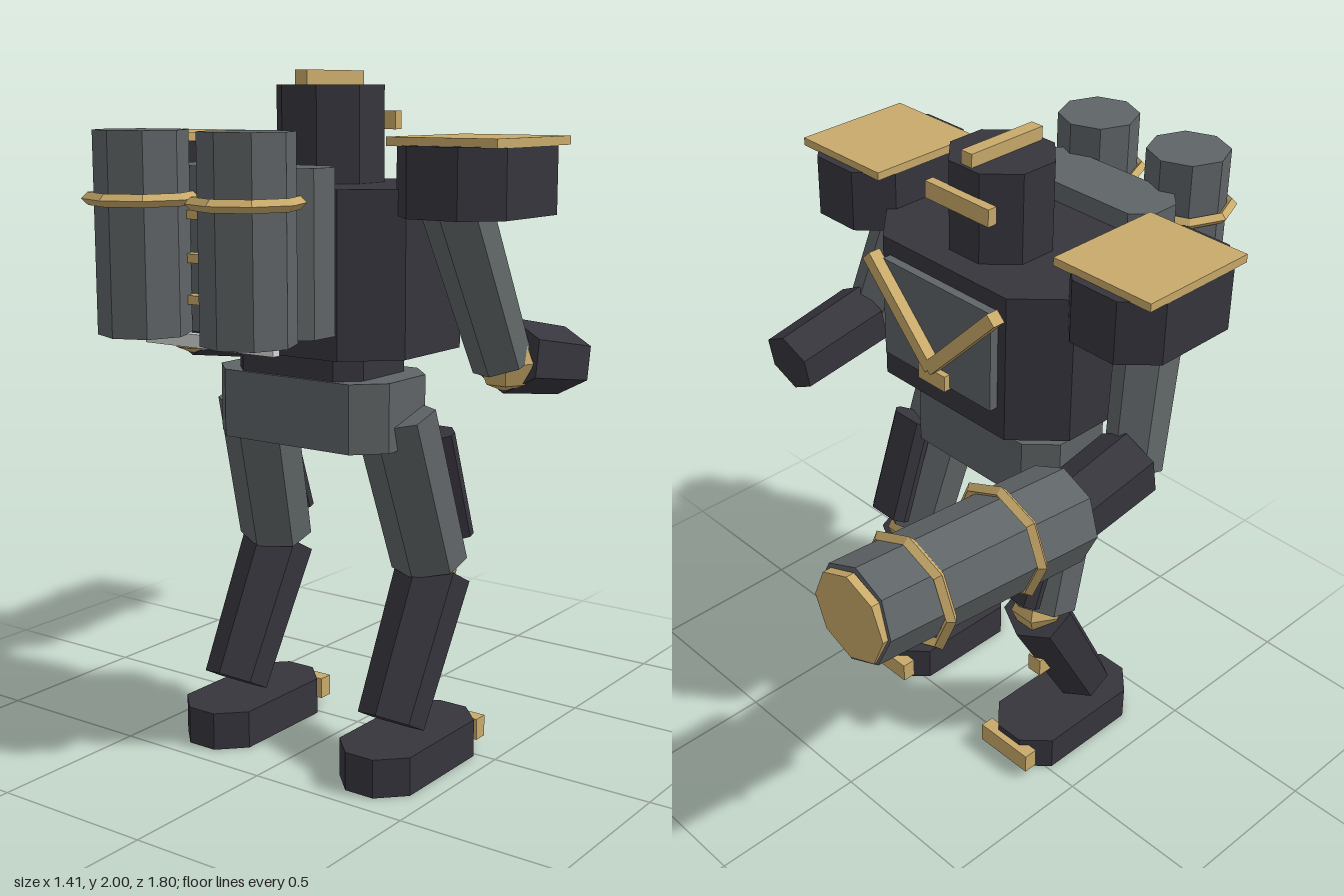
import * as THREE from 'three';

const mat = (name, color) => {
  const m = new THREE.MeshStandardMaterial({ color, flatShading: true });
  m.name = name;
  return m;
};

export function createModel() {
  const dark = mat('dark armour', 0x37353d);
  const grey = mat('grey metal', 0x5f6466);
  const gold = mat('gold trim', 0xc9aa6a);
  const pale = mat('pale bar', 0xd6d8d8);
  const V = (x, y, z) => new THREE.Vector3(x, y, z);

  const model = new THREE.Group();
  model.name = 'robot';
  const body = new THREE.Group();
  body.name = 'body';
  body.position.x = 0.021;
  model.add(body);

  const add = (name, geo, material, p, parent = body) => {
    const m = new THREE.Mesh(geo, material);
    m.name = name;
    if (p) m.position.copy(p);
    parent.add(m);
    return m;
  };
  const box = (name, w, h, d, material, p, parent) =>
    add(name, new THREE.BoxGeometry(w, h, d), material, p, parent);

  // Block with its four vertical edges cut off, centred on p
  const block = (name, w, h, d, cut, material, p, parent) => {
    const a = w / 2, b = d / 2;
    const s = new THREE.Shape([
      [a - cut, -b], [a, -b + cut], [a, b - cut], [a - cut, b],
      [-a + cut, b], [-a, b - cut], [-a, -b + cut], [-a + cut, -b],
    ].map(([x, y]) => new THREE.Vector2(x, y)));
    const g = new THREE.ExtrudeGeometry(s, { depth: h, bevelEnabled: false });
    g.translate(0, 0, -h / 2).rotateX(-Math.PI / 2);
    return add(name, g, material, p, parent);
  };

  // Faceted limb from point a (bottom) to point b (top)
  const limb = (name, a, b, ra, rb, sides, widen, material, parent) => {
    const dir = b.clone().sub(a);
    const g = new THREE.CylinderGeometry(rb, ra, dir.length(), sides);
    g.scale(widen, 1, 1);
    const m = add(name, g, material, a.clone().add(b).multiplyScalar(0.5), parent);
    m.quaternion.setFromUnitVectors(V(0, 1, 0), dir.normalize());
    return m;
  };
  const joint = (name, r, p, parent) =>
    add(name, new THREE.SphereGeometry(r, 6, 4), gold, p, parent);
  const ring = (name, r, p) =>
    add(name, new THREE.TorusGeometry(r, 0.017, 4, 8), gold, p);

  // Head
  const head = new THREE.CylinderGeometry(0.157, 0.157, 0.28, 8);
  head.rotateY(Math.PI / 8);
  add('head', head, dark, V(0, 1.82, 0.163));
  box('headCrest', 0.042, 0.04, 0.27, gold, V(0, 1.98, 0.163));
  box('visor', 0.25, 0.052, 0.03, gold, V(0, 1.861, 0.005));

  // Torso, waist and hips
  block('torso', 0.76, 0.455, 0.535, 0.13, dark, V(0, 1.4625, 0.205));
  block('waist', 0.44, 0.1, 0.32, 0.06, dark, V(0, 1.19, 0.21));
  block('hips', 0.6, 0.197, 0.34, 0.08, grey, V(0, 1.058, 0.21));

  // Chest panel with chevron
  box('chestPanel', 0.44, 0.31, 0.03, grey, V(0, 1.485, -0.075));
  for (const s of [-1, 1]) {
    const bar = box('chevronBar', 0.37, 0.04, 0.04, gold, V(s * 0.125, 1.515, -0.105));
    bar.rotation.z = s * Math.atan2(0.26, 0.25);
  }
  box('chestBadge', 0.11, 0.05, 0.04, gold, V(0, 1.35, -0.09));

  // Backpack with two tanks and rungs
  block('backpack', 0.54, 0.44, 0.2, 0.055, grey, V(0, 1.53, 0.553));
  for (const y of [1.4, 1.51, 1.625]) box('rung', 0.2, 0.024, 0.05, gold, V(0, y, 0.667));
  box('backpackBar', 0.44, 0.036, 0.026, pale, V(0, 1.294, 0.694));
  for (const s of [-1, 1]) {
    add('tank', new THREE.CylinderGeometry(0.125, 0.125, 0.535, 8), grey,
      V(s * 0.178, 1.577, 0.752));
    ring('tankRing', 0.137, V(s * 0.178, 1.668, 0.757)).rotation.x = Math.PI / 2;
  }

  // Arms and legs
  for (const s of [-1, 1]) {
    const arm = new THREE.Group();
    arm.name = s > 0 ? 'leftArm' : 'rightArm';
    const leg = new THREE.Group();
    leg.name = s > 0 ? 'leftLeg' : 'rightLeg';
    body.add(arm, leg);

    block('shoulder', 0.335, 0.185, 0.445, 0.09, dark, V(s * 0.516, 1.712, 0.208), arm);
    box('shoulderPlate', 0.336, 0.024, 0.38, gold, V(s * 0.516, 1.814, 0.2), arm);
    limb('upperArm', V(s * 0.56, 1.21, 0.135), V(s * 0.475, 1.7, 0.28),
      0.078, 0.09, 6, 1.1, grey, arm);
    joint('elbow', 0.085, V(s * 0.562, 1.22, 0.12), arm);
    limb('forearm', V(s * 0.562, 1.235, 0.115), V(s * 0.562, 1.18, -0.195),
      0.104, 0.098, 6, 1.05, dark, arm);

    limb('thigh', V(s * 0.286, 0.59, 0.07), V(s * 0.25, 1.045, 0.2),
      0.095, 0.1, 6, 1.25, grey, leg);
    const guard = block('thighGuard', 0.15, 0.34, 0.07, 0.025, dark,
      V(s * 0.295, 0.825, 0.025), leg);
    guard.rotation.x = 0.33;
    joint('knee', 0.085, V(s * 0.288, 0.575, 0.06), leg);
    limb('shin', V(s * 0.289, 0.165, 0.27), V(s * 0.289, 0.56, 0.055),
      0.089, 0.1, 6, 1.15, dark, leg);
    box('shinStud', 0.05, 0.06, 0.05, gold, V(s * 0.289, 0.337, 0.075), leg);
    block('foot', 0.245, 0.114, 0.49, 0.075, dark, V(s * 0.291, 0.057, 0.185), leg);
    box('toeBar', 0.2, 0.065, 0.045, gold, V(s * 0.291, 0.06, -0.06), leg);
  }

  // Arm cannon on the right forearm
  const cx = -0.559;
  limb('cannonBarrel', V(cx, 1.197, -0.16), V(cx, 1.265, -0.875), 0.143, 0.137, 8, 1, grey);
  ring('cannonRing', 0.152, V(cx, 1.226, -0.378));
  ring('cannonRing', 0.152, V(cx, 1.236, -0.694));
  const muzzle = new THREE.CylinderGeometry(0.127, 0.127, 0.024, 8);
  add('muzzlePlate', muzzle.rotateX(Math.PI / 2), gold, V(cx, 1.262, -0.879));

  return model;
}
